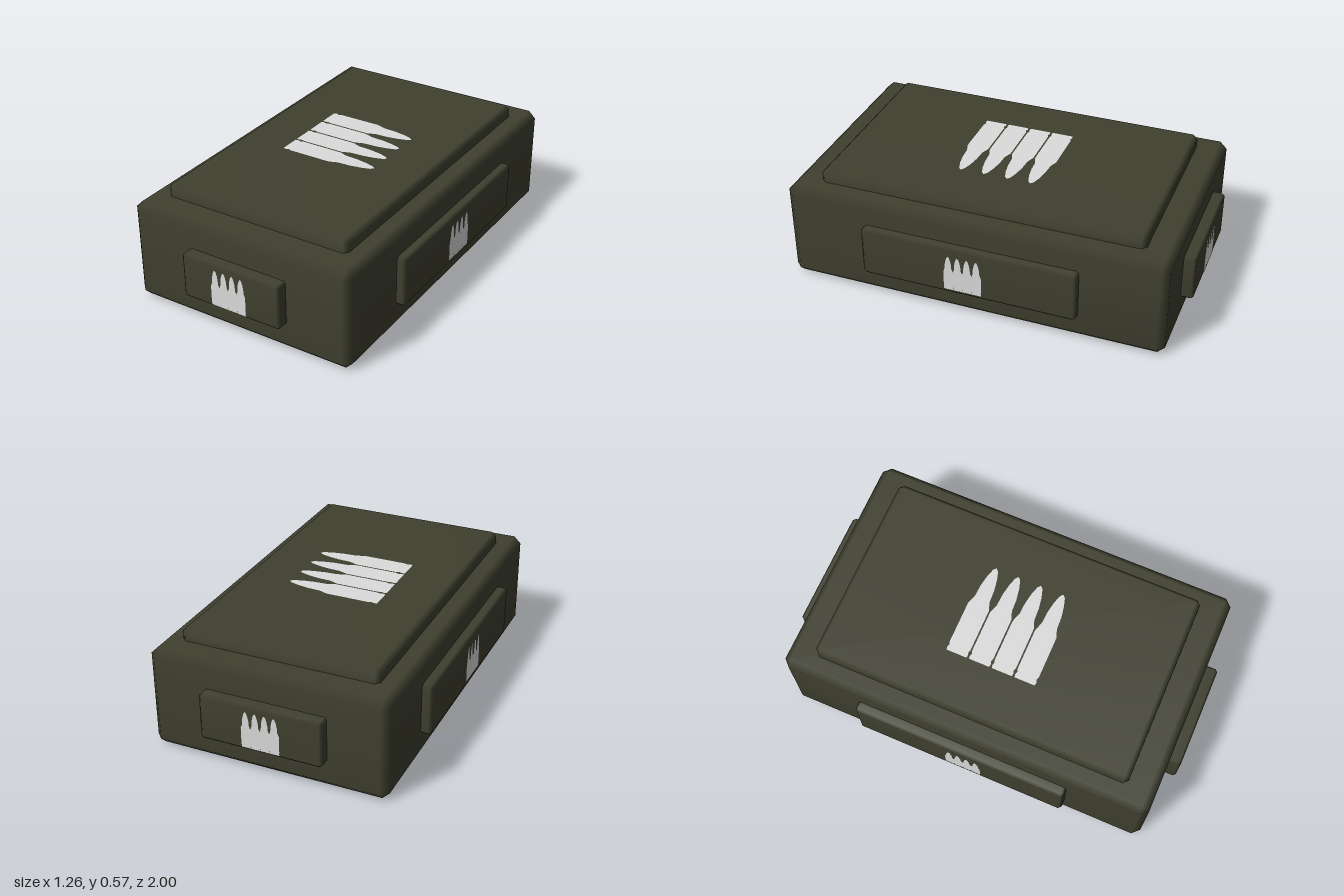
import * as THREE from 'three';
import { mergeVertices } from 'three/addons/utils/BufferGeometryUtils.js';
import { ConvexGeometry } from 'three/addons/geometries/ConvexGeometry.js';

const olive = new THREE.MeshStandardMaterial({ color: 0x3f402f });
olive.name = 'olive';
const white = new THREE.MeshStandardMaterial({ color: 0xdcdcdc });
white.name = 'paleGrey';

// Box between two corners with every edge cut by c, shaded smoothly
function chamferBox(name, min, max, c) {
  const a = new THREE.Vector3(...min), b = new THREE.Vector3(...max);
  const mid = a.clone().add(b).multiplyScalar(0.5);
  const h = b.clone().sub(a).multiplyScalar(0.5);
  const points = [];
  for (const sx of [-1, 1]) for (const sy of [-1, 1]) for (const sz of [-1, 1]) {
    for (const axis of ['x', 'y', 'z']) {
      const p = h.clone().subScalar(c);
      p[axis] = h[axis];
      points.push(p.multiply(new THREE.Vector3(sx, sy, sz)).add(mid));
    }
  }
  let geo = new ConvexGeometry(points);
  geo.deleteAttribute('normal');
  geo = mergeVertices(geo, 1e-5);
  geo.computeVertexNormals();
  const mesh = new THREE.Mesh(geo, olive);
  mesh.name = name;
  return mesh;
}

// One cartridge outline, pointing up from y = 0
function cartridge(cx, w, len) {
  const side = [[0.47, 0], [0.5, 0.03], [0.45, 0.06], [0.5, 0.09], [0.5, 0.54],
    [0.36, 0.63], [0.33, 0.76], [0.24, 0.88], [0.12, 0.97]];
  const right = side.map(([u, v]) => new THREE.Vector2(cx + u * w, v * len));
  const left = side.map(([u, v]) => new THREE.Vector2(cx - u * w, v * len)).reverse();
  return new THREE.Shape([...right, new THREE.Vector2(cx, len), ...left]);
}

// Row of four cartridges laid flat on a face
function emblem(name, centre, tip, normal, len, pitch, w) {
  const shapes = [-1.5, -0.5, 0.5, 1.5].map((i) => cartridge(i * pitch, w, len));
  const geo = new THREE.ShapeGeometry(shapes);
  geo.translate(0, -len / 2, 0);
  const t = new THREE.Vector3(...tip), n = new THREE.Vector3(...normal);
  geo.applyMatrix4(new THREE.Matrix4().makeBasis(t.clone().cross(n), t, n));
  geo.translate(...centre);
  const mesh = new THREE.Mesh(geo, white);
  mesh.name = name;
  return mesh;
}

export function createModel() {
  const model = new THREE.Group();
  model.name = 'ammunitionBox';

  // Case, lid and the raised panel on each side
  model.add(
    chamferBox('body', [-0.583, 0.002, -0.94], [0.585, 0.506, 0.94], 0.035),
    chamferBox('lid', [-0.485, 0.44, -0.805], [0.488, 0.568, 0.8], 0.022),
    chamferBox('frontPanel', [-0.26, 0.142, 0.85], [0.264, 0.37, 0.998], 0.012),
    chamferBox('backPanel', [-0.3, 0.142, -0.998], [0.3, 0.372, -0.85], 0.012),
    chamferBox('leftPanel', [0.5, 0.128, -0.532], [0.628, 0.383, 0.535], 0.014),
    chamferBox('rightPanel', [-0.632, 0.126, -0.543], [-0.5, 0.385, 0.543], 0.014)
  );

  // Painted cartridges: large on top and bottom, small on the side panels
  const X = [1, 0, 0], Y = [0, 1, 0];
  const big = [0.48, 0.117, 0.109], small = [0.187, 0.0465, 0.0475];
  model.add(
    emblem('topEmblem', [0.01, 0.57, 0], X, Y, ...big),
    emblem('bottomEmblem', [0.01, 0, 0], X, [0, -1, 0], ...big),
    emblem('frontEmblem', [-0.005, 0.248, 1], Y, [0, 0, 1], ...small),
    emblem('backEmblem', [-0.005, 0.248, -1], Y, [0, 0, -1], ...small),
    emblem('leftEmblem', [0.63, 0.245, 0.018], Y, X, ...small),
    emblem('rightEmblem', [-0.634, 0.245, 0.022], Y, [-1, 0, 0], ...small)
  );
  return model;
}
